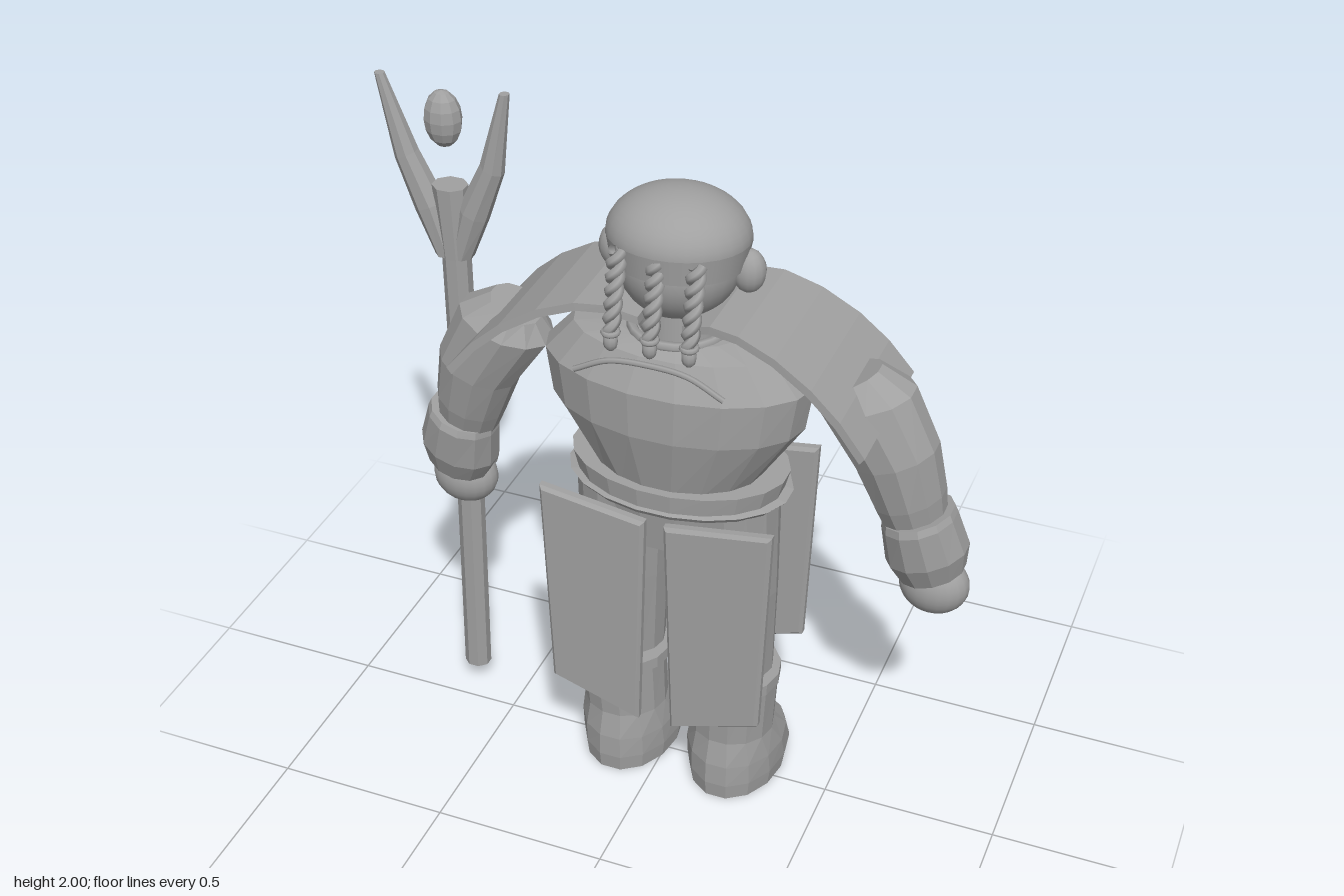
import * as THREE from 'three';

const CX = 0.048; // centre line of the figure
const stone = new THREE.MeshStandardMaterial({ color: 0xa0a0a0, side: THREE.DoubleSide });
stone.name = 'stone grey';

export function createModel() {
  const model = new THREE.Group();

  const add = (name, geometry, x = 0, y = 0, z = 0, parent = model) => {
    const m = new THREE.Mesh(geometry, stone);
    m.name = name;
    m.position.set(x, y, z);
    parent.add(m);
    return m;
  };
  const flat = (g) => {
    const f = g.index ? g.toNonIndexed() : g;
    f.computeVertexNormals();
    return f;
  };
  const ball = (name, x, y, z, rx, ry, rz, seg = 20) =>
    add(name, new THREE.SphereGeometry(1, seg, Math.ceil(seg * 0.7)).scale(rx, ry, rz), x, y, z);

  // Faceted body through rings, listed bottom to top: [x, y, z, rx, rz, tilt]
  const loft = (rings, sides = 14) => {
    const pos = [], idx = [];
    const n = sides, last = (rings.length - 1) * n;
    for (const [x, y, z, rx, rz, tilt = 0] of rings) {
      for (let i = 0; i < n; i++) {
        const a = ((i + 0.5) / n) * Math.PI * 2;
        const u = Math.sin(a) * rx;
        pos.push(x + u * Math.cos(tilt), y + u * Math.sin(tilt), z + Math.cos(a) * rz);
      }
    }
    for (let r = 0; r < rings.length - 1; r++) {
      for (let i = 0; i < n; i++) {
        const a = r * n + i, b = r * n + ((i + 1) % n);
        idx.push(a, b, b + n, a, b + n, a + n);
      }
    }
    for (let i = 1; i < n - 1; i++) idx.push(0, i + 1, i, last, last + i, last + i + 1);
    const g = new THREE.BufferGeometry();
    g.setAttribute('position', new THREE.Float32BufferAttribute(pos, 3));
    g.setIndex(idx);
    return flat(g);
  };
  const curve = (pts) => new THREE.CatmullRomCurve3(pts.map((p) => new THREE.Vector3(...p)));
  const tube = (name, pts, r, seg = 16) => add(name, new THREE.TubeGeometry(curve(pts), seg, r, 6));

  // Torso, belt and hips
  add('torso', loft([
    [CX, 1.06, 0.02, 0.22, 0.165], [CX, 1.26, 0.025, 0.35, 0.205],
    [CX, 1.39, 0.025, 0.37, 0.205], [CX, 1.48, 0.025, 0.29, 0.16], [CX, 1.5, 0.025, 0.17, 0.11],
  ], 18));
  add('belt', loft([
    [CX, 1.01, 0.01, 0.3, 0.2], [CX, 1.025, 0.01, 0.315, 0.21],
    [CX, 1.03, 0.01, 0.29, 0.2], [CX, 1.085, 0.01, 0.305, 0.205],
  ], 20));
  add('hips', loft([[CX, 0.87, 0.02, 0.2, 0.15], [CX, 1.02, 0.02, 0.27, 0.17]], 16));
  add('neck', new THREE.CylinderGeometry(0.1, 0.11, 0.16, 18), CX, 1.53, 0.02);
  const collar = add('collar', new THREE.TorusGeometry(0.125, 0.014, 6, 24), CX, 1.5, 0.02);
  collar.rotation.x = Math.PI / 2;

  // Head with a hair cap
  ball('head', CX, 1.705, 0.025, 0.165, 0.165, 0.168, 28);
  const cap = add('hairCap', new THREE.SphereGeometry(1, 28, 10, 0, Math.PI * 2, 0, Math.PI / 2)
    .scale(0.187, 0.125, 0.175), CX, 1.765, 0.03);
  cap.rotation.x = -0.08;
  add('hairBand', new THREE.CylinderGeometry(1, 0.93, 0.07, 28, 1, true)
    .scale(0.187, 1, 0.175), CX, 1.73, 0.03).rotation.x = -0.08;
  ball('nose', CX, 1.665, -0.15, 0.024, 0.028, 0.026, 10);
  ball('chinBeard', CX, 1.59, -0.125, 0.04, 0.05, 0.03, 10);

  // Staff with a forked top and floating gem
  const sx = -0.655, sz = -0.085;
  add('staff', loft([
    [sx, 0.07, sz, 0.04, 0.036], [sx + 0.015, 0.9, sz, 0.04, 0.036],
    [sx + 0.015, 1.5, sz, 0.04, 0.04], [sx + 0.008, 1.71, sz, 0.05, 0.045],
  ], 8));
  add('staffProngRight', loft([
    [sx - 0.01, 1.5, sz, 0.035, 0.035], [sx - 0.055, 1.64, sz, 0.045, 0.04, 0.4],
    [sx - 0.115, 1.78, sz, 0.035, 0.032, 0.4], [-0.832, 2.0, sz, 0.014, 0.014],
  ], 8));
  add('staffProngLeft', loft([
    [sx + 0.03, 1.5, sz, 0.035, 0.035], [sx + 0.075, 1.64, sz, 0.045, 0.04, -0.4],
    [sx + 0.135, 1.78, sz, 0.035, 0.032, -0.4], [-0.475, 2.0, sz, 0.014, 0.014],
  ], 8));
  add('staffGem', flat(new THREE.SphereGeometry(1, 10, 8).scale(0.053, 0.08, 0.045)), sx, 1.9, sz);

  // Mirrored parts
  for (const s of [-1, 1]) {
    const X = (d) => CX + s * d;
    const side = s > 0 ? 'left' : 'right';

    add(side + 'Boot', loft([
      [X(0.165), 0, -0.047, 0.135, 0.195], [X(0.165), 0.05, -0.05, 0.142, 0.203],
      [X(0.165), 0.12, -0.03, 0.14, 0.18], [X(0.165), 0.2, 0.015, 0.122, 0.12],
      [X(0.172), 0.37, 0.018, 0.125, 0.128],
    ]));
    add(side + 'BootCuff', loft([
      [X(0.165), 0.375, 0.018, 0.137, 0.14], [X(0.165), 0.41, 0.018, 0.137, 0.14],
    ]));
    add(side + 'Leg', loft([
      [X(0.165), 0.4, 0, 0.11, 0.1], [X(0.16), 0.7, 0.015, 0.125, 0.12],
      [X(0.15), 1.02, 0.022, 0.135, 0.145],
    ]));

    // Arm, forearm guard and hand
    add(side + 'UpperArm', loft([
      [X(0.65), 1.02, -0.02, 0.085, 0.085, s * 0.32], [X(0.63), 1.1, -0.01, 0.1, 0.1, s * 0.35],
      [X(0.59), 1.235, 0.005, 0.117, 0.11, s * 0.38], [X(0.5), 1.39, 0.008, 0.135, 0.115, s * 0.3],
      [X(0.47), 1.445, 0.01, 0.075, 0.075, s * 0.5],
    ], 12));
    add(side + 'ForearmGuard', loft([
      [X(0.7), 0.85, -0.045, 0.092, 0.09, s * 0.32], [X(0.685), 0.92, -0.03, 0.115, 0.108, s * 0.32],
      [X(0.66), 1.03, -0.015, 0.103, 0.107, s * 0.32], [X(0.656), 1.05, -0.015, 0.098, 0.1, s * 0.32],
    ], 12));
    ball(side + 'Hand', X(0.7), 0.78, -0.08, 0.097, 0.088, 0.073);
    ball(side + 'Thumb', X(0.66), 0.8, -0.15, 0.028, 0.026, 0.025, 10);

    // Curved shoulder cape, widening outwards: [d, y, zBack, zFront]
    const capeRows = [
      [0.06, 1.58, -0.13, 0.16], [0.14, 1.607, -0.15, 0.18], [0.22, 1.605, -0.16, 0.195],
      [0.32, 1.57, -0.17, 0.208], [0.42, 1.51, -0.18, 0.22], [0.5, 1.44, -0.188, 0.228],
      [0.57, 1.355, -0.195, 0.235],
    ];
    const pos = [], idx = [];
    for (const [d, y, z0, z1] of capeRows) {
      const k = 0.024, ox = k * Math.min(1, d), oy = k * (1 - d * 0.4);
      pos.push(X(d), y, z0, X(d), y, z1, X(d - ox), y - oy, z1, X(d - ox), y - oy, z0);
    }
    const quad = (a, b, c, d) => (s > 0 ? idx.push(a, b, c, a, c, d) : idx.push(a, c, b, a, d, c));
    for (let r = 0; r < capeRows.length - 1; r++) {
      for (let i = 0; i < 4; i++) {
        const a = r * 4 + i, b = r * 4 + ((i + 1) % 4);
        quad(a, b, b + 4, a + 4);
      }
    }
    const e = (capeRows.length - 1) * 4;
    quad(3, 2, 1, 0);
    quad(e, e + 1, e + 2, e + 3);
    const cape = new THREE.BufferGeometry();
    cape.setAttribute('position', new THREE.Float32BufferAttribute(pos, 3));
    cape.setIndex(idx);
    add(side + 'ShoulderCape', flat(cape));

    // Hanging skirt plates on both faces
    const plate = new THREE.Shape([[0.33, 1.025], [0.027, 0.98], [0.048, 0.285], [0.307, 0.37]]
      .map(([d, y]) => new THREE.Vector2(X(d), y)));
    const plateGeo = new THREE.ExtrudeGeometry(plate, {
      depth: 0.018, bevelEnabled: true, bevelSegments: 1, bevelSize: 0.01, bevelOffset: -0.01, bevelThickness: 0.01,
    });
    add(side + 'OuterPlate', plateGeo, 0, 0, 0.188);
    add(side + 'InnerPlate', plateGeo, 0, 0.04, -0.193);

    // Ear, closed eye, brow and moustache
    ball(side + 'Ear', X(0.18), 1.685, 0.01, 0.045, 0.06, 0.042, 14);
    tube(side + 'Eye', [[X(0.04), 1.71, -0.142], [X(0.065), 1.703, -0.136], [X(0.092), 1.71, -0.121]], 0.008, 8);
    tube(side + 'Brow', [[X(0.03), 1.755, -0.138], [X(0.07), 1.775, -0.13], [X(0.105), 1.765, -0.105]], 0.009, 8);
    tube(side + 'Moustache', [[X(0), 1.645, -0.148], [X(0.035), 1.64, -0.155],
      [X(0.055), 1.615, -0.15], [X(0.062), 1.585, -0.14]], 0.014, 10);
  }

  // Three twisted braids, each of two strands with a bound tip
  for (const d of [-0.105, 0, 0.105]) {
    for (const phase of [0, Math.PI]) {
      const pts = [];
      for (let i = 0; i <= 32; i++) {
        const t = i / 32, a = t * Math.PI * 6 + phase, r = 0.014 * (1 - 0.3 * t);
        pts.push([CX + d + Math.cos(a) * r, 1.77 - 0.21 * t, 0.178 + 0.05 * t + Math.sin(a) * r]);
      }
      tube('braidStrand', pts, 0.014, 48);
    }
    add('braidTie', new THREE.TorusGeometry(0.018, 0.008, 6, 14), CX + d, 1.565, 0.228).rotation.x = Math.PI / 2;
    ball('braidTip', CX + d, 1.54, 0.23, 0.02, 0.028, 0.018, 10);
  }

  // Thin arched cord hung across the shoulders
  tube('cord', [[-0.155, 1.44, 0.24], [-0.06, 1.487, 0.24], [CX, 1.497, 0.24],
    [0.155, 1.487, 0.24], [0.25, 1.44, 0.24]], 0.008, 24);

  return model;
}
